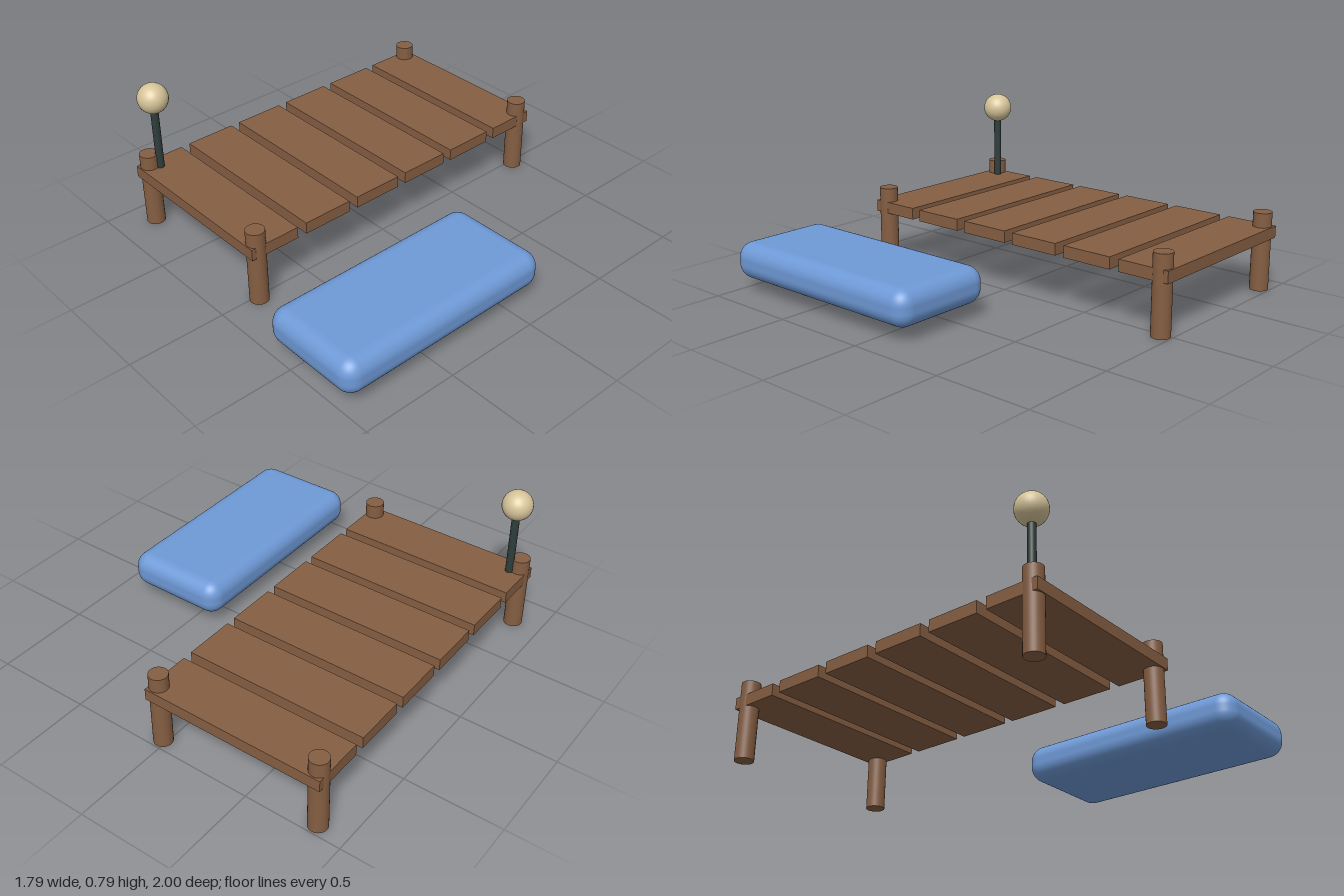
import * as THREE from 'three';
import { RoundedBoxGeometry } from 'three/addons/geometries/RoundedBoxGeometry.js';

const material = (name, color) => {
  const m = new THREE.MeshStandardMaterial({ color });
  m.name = name;
  return m;
};

export function createModel() {
  const wood = material('brown wood', 0x855e42);
  const blue = material('blue cushion', 0x6e99d6);
  const dark = material('dark metal', 0x2e3d3a);
  const cream = material('cream globe', 0xd7c59a);

  const model = new THREE.Group();
  model.name = 'dockWithFloat';
  const add = (parent, name, geometry, mat, x, y, z) => {
    const mesh = new THREE.Mesh(geometry, mat);
    mesh.name = name;
    mesh.position.set(x, y, z);
    parent.add(mesh);
  };

  // Dock: six spaced planks
  const dock = new THREE.Group();
  dock.name = 'dock';
  model.add(dock);
  const plank = new THREE.BoxGeometry(0.95, 0.06, 0.267);
  for (let i = 0; i < 6; i++) {
    add(dock, 'plank', plank, wood, -0.417, 0.297, -0.866 + i * 0.3168);
  }

  // Corner posts rising through the end planks
  const post = new THREE.CylinderGeometry(0.047, 0.047, 0.4, 32);
  for (const x of [-0.851, 0.02]) {
    for (const z of [-0.946, 0.8]) add(dock, 'post', post, wood, x, 0.2, z);
  }

  // Lamp standing by the front post
  const lamp = new THREE.Group();
  lamp.name = 'lamp';
  lamp.position.set(-0.812, 0, 0.762);
  model.add(lamp);
  add(lamp, 'lampPole', new THREE.CylinderGeometry(0.02, 0.02, 0.39, 24), dark, 0, 0.5, 0);
  add(lamp, 'lampGlobe', new THREE.SphereGeometry(0.077, 32, 20), cream, 0, 0.717, 0);

  // Rounded float beside the dock
  add(model, 'float', new RoundedBoxGeometry(0.555, 0.187, 1.19, 6, 0.078), blue, 0.615, 0.16, 0.405);

  return model;
}
